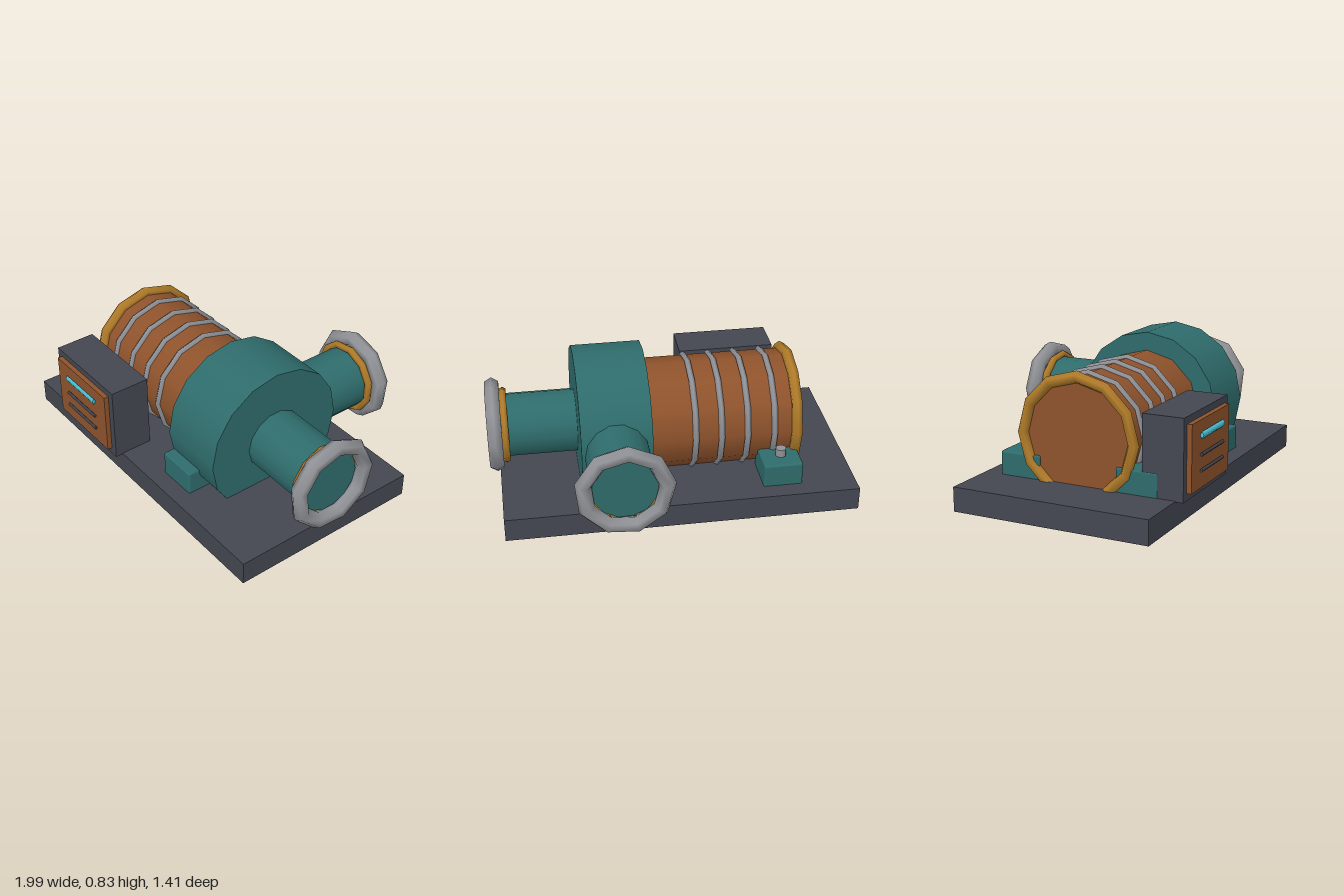
import * as THREE from 'three';
import { RoundedBoxGeometry } from 'three/addons/geometries/RoundedBoxGeometry.js';

const paint = (name, color) => {
  const m = new THREE.MeshStandardMaterial({ color });
  m.name = name;
  return m;
};

export function createModel() {
  const group = new THREE.Group();
  const teal = paint('teal casing', 0x2f6c6c);
  const copper = paint('copper brown', 0x8f532c);
  const gold = paint('mustard', 0xb07b29);
  const dark = paint('dark slate', 0x444751);
  const steel = paint('light steel', 0x919398);
  const cyan = paint('cyan display', 0x4cc9df);

  const CY = 0.415, CZ = 0.068; // shaft axis

  const add = (name, geo, mat, parent = group) => {
    const m = new THREE.Mesh(geo, mat);
    m.name = name;
    parent.add(m);
    return m;
  };
  // Box given by its limits on each axis
  const box = (name, mat, [x0, x1], [y0, y1], [z0, z1], round = 0) => {
    const s = [x1 - x0, y1 - y0, z1 - z0];
    const geo = round ? new RoundedBoxGeometry(...s, 2, round) : new THREE.BoxGeometry(...s);
    add(name, geo, mat).position.set((x0 + x1) / 2, (y0 + y1) / 2, (z0 + z1) / 2);
  };
  // Cylinder and ring lying along x
  const drum = (name, mat, r, x0, x1, sides, parent) => {
    const geo = new THREE.CylinderGeometry(r, r, x1 - x0, sides).rotateZ(-Math.PI / 2);
    return add(name, geo.translate((x0 + x1) / 2, 0, 0), mat, parent);
  };
  const ring = (name, mat, R, tube, x, sides, parent, tubeSides = 6) => {
    const geo = new THREE.TorusGeometry(R, tube, tubeSides, sides).rotateY(Math.PI / 2);
    return add(name, geo.translate(x, 0, 0), mat, parent);
  };

  // Base plate
  box('basePlate', dark, [-1, 0.94], [0.032, 0.165], [-0.488, 0.622]);

  // Motor with cooling rings
  const motor = new THREE.Group();
  motor.name = 'motor';
  motor.position.set(0, CY, CZ);
  group.add(motor);
  drum('motorBody', copper, 0.314, -0.69, 0.115, 12, motor);
  ring('motorEndRing', gold, 0.32, 0.032, -0.69, 12, motor);
  drum('motorFrontCollar', gold, 0.29, 0.11, 0.13, 12, motor);
  for (const x of [-0.565, -0.415, -0.27, -0.127]) {
    ring('coolingRing', steel, 0.316, 0.018, x, 12, motor, 5);
  }

  // Pump casing
  const casing = drum('pumpCasing', teal, 0.415, 0.12, 0.505, 16);
  casing.position.set(0, CY, CZ);

  // Flanged pipes: one along the shaft, one to the rear
  const pipe = (name, length) => {
    const g = new THREE.Group();
    g.name = name;
    group.add(g);
    drum('pipe', teal, 0.176, 0, length - 0.06, 14, g);
    ring('pipeCollar', gold, 0.193, 0.021, length - 0.103, 11, g);
    ring('pipeFlange', steel, 0.223, 0.045, length - 0.046, 9, g).rotation.x = 0.1;
    return g;
  };
  pipe('shaftPipe', 0.6).position.set(0.4, CY, CZ);
  const rear = pipe('rearPipe', 0.61);
  rear.position.set(0.312, CY, -0.1);
  rear.rotation.y = Math.PI / 2;

  // Mounting feet and bolts on both sides
  for (const side of [-1, 1]) {
    const z = [CZ + side * 0.22, CZ + side * 0.457].sort((a, b) => a - b);
    box('motorFoot', teal, [-0.7, -0.483], [0.15, 0.295], z, 0.012);
    box('pumpFoot', teal, [0.12, 0.352], [0.15, 0.297], z, 0.012);
    const bolt = add('footBolt', new THREE.CylinderGeometry(0.03, 0.03, 0.05, 8), steel);
    bolt.position.set(-0.595, 0.315, CZ + side * 0.352);
  }

  // Control box with panel, display and vents
  box('controlBox', dark, [-0.697, -0.145], [0.16, 0.592], [0.437, 0.663]);
  box('controlPanel', copper, [-0.66, -0.185], [0.2, 0.555], [0.66, 0.69]);
  const bar = (name, mat, y, h, d) => {
    const geo = new THREE.CylinderGeometry(1, 1, 0.275, 4).rotateZ(Math.PI / 2);
    add(name, geo.scale(1, h, d), mat).position.set(-0.42, y, 0.698);
  };
  bar('display', cyan, 0.477, 0.019, 0.011);
  bar('vent', dark, 0.378, 0.011, 0.01);
  bar('vent', dark, 0.295, 0.011, 0.01);

  return group;
}
